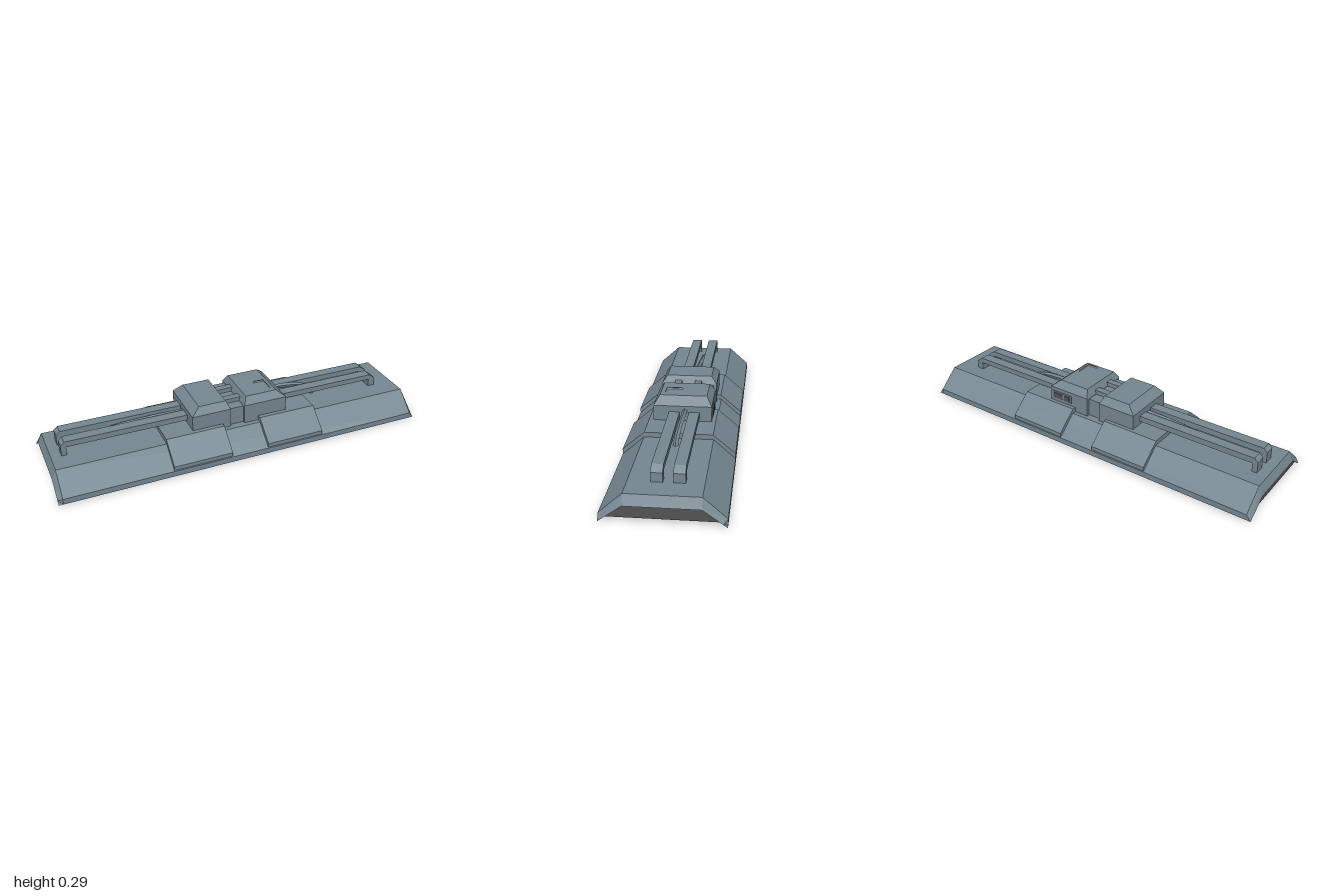
import * as THREE from 'three';

const slate = new THREE.MeshStandardMaterial({ color: 0x758791, flatShading: true, side: THREE.DoubleSide });
const dark = new THREE.MeshStandardMaterial({ color: 0x545252, flatShading: true, side: THREE.DoubleSide });
const grey = new THREE.MeshStandardMaterial({ color: 0xcccccc, flatShading: true });

function add(parent, name, geometry, material = slate) {
  const mesh = new THREE.Mesh(geometry, material);
  mesh.name = name;
  parent.add(mesh);
  return mesh;
}

// Box given by its limits
function box(x0, x1, y0, y1, z0, z1) {
  return new THREE.BoxGeometry(x1 - x0, y1 - y0, z1 - z0)
    .translate((x0 + x1) / 2, (y0 + y1) / 2, (z0 + z1) / 2);
}

// Skin between cross-sections, each a list of [x, y, z]
function loft(sections, closed = false) {
  const n = sections[0].length, index = [];
  for (let s = 0; s < sections.length - 1; s++) {
    for (let i = 0; i < (closed ? n : n - 1); i++) {
      const a = s * n + i, b = s * n + (i + 1) % n;
      index.push(a, a + n, b, b, a + n, b + n);
    }
  }
  const g = new THREE.BufferGeometry();
  g.setAttribute('position', new THREE.Float32BufferAttribute(sections.flat(2), 3));
  g.setIndex(index);
  g.computeVertexNormals();
  return g;
}

// Mirrors half a [z, y] profile
const mirrored = half => [...half, ...half.map(([z, y]) => [-z, y]).reverse()];
const at = (profile, x) => profile.map(([z, y]) => [x, y, z]);

// Extrudes a [z, y] profile along x
function extrudeX(profile, x0, x1) {
  const shape = new THREE.Shape(profile.map(([z, y]) => new THREE.Vector2(-z, y)));
  return new THREE.ExtrudeGeometry(shape, { depth: x1 - x0, bevelEnabled: false })
    .rotateY(Math.PI / 2).translate(x0, 0, 0);
}

// Extrudes an [x, y] profile along z
function extrudeZ(profile, z0, z1) {
  const shape = new THREE.Shape(profile.map(([x, y]) => new THREE.Vector2(x, y)));
  return new THREE.ExtrudeGeometry(shape, { depth: z1 - z0, bevelEnabled: false }).translate(0, 0, z0);
}

// Rectangular ring at one height
const ring = (x0, x1, z0, z1, y) => [[x0, y, z0], [x0, y, z1], [x1, y, z1], [x1, y, z0]];

// Housing half with sloped outer and long sides
function housing(x0, x1, topX0, topX1) {
  return loft([
    ring(x0, x1, -0.148, 0.145, 0.12),
    ring(x0, x1, -0.148, 0.145, 0.23),
    ring(topX0, topX1, -0.12, 0.118, 0.269),
    ring((topX0 + topX1) / 2, (topX0 + topX1) / 2, 0, 0, 0.269),
  ], true);
}

function cable(points) {
  const curve = new THREE.CatmullRomCurve3(points.map(p => new THREE.Vector3(...p)));
  return new THREE.TubeGeometry(curve, 12, 0.013, 5);
}

export function createModel() {
  const model = new THREE.Group();
  model.name = 'lampFixture';
  const body = new THREE.Group();
  body.name = 'fixture';
  model.add(body);

  // Hollow trough with bevelled end rims
  const outer = mirrored([[0.278, 0], [0.278, 0.03], [0.17, 0.127]]);
  const inner = mirrored([[0.278, 0], [0.258, 0.014], [0.17, 0.079]]);
  add(body, 'hull', loft([at(inner, -0.995), at(outer, -0.972), at(outer, 0.972),
    at(inner, 0.995), at(inner, -0.995)]));

  // End plates, and the long strip under the ceiling
  const plate = [[0.258, 0.014], [0.17, 0.079], [-0.17, 0.079], [-0.258, 0.014]];
  for (const s of [-1, 1]) {
    add(body, 'endPlate', extrudeX(plate, s * 0.972 - 0.004, s * 0.972 + 0.004), dark);
  }
  add(body, 'undersideStrip', box(-0.9, 0.89, 0.07, 0.082, -0.015, 0.015));

  // Saddle plates folded over the hull
  const saddle = mirrored([[0.265, 0.03], [0.278, 0.036], [0.278, 0.057], [0.168, 0.152]]);
  saddle.push([-0.16, 0.12], [0.16, 0.12]);
  for (const [x0, x1] of [[-0.415, -0.1], [0.1, 0.415]]) {
    add(body, 'saddlePlate', extrudeX(saddle, x0, x1));
  }

  // Central housing: two blocks joined by a lower bridge
  add(body, 'rightHousing', housing(-0.265, -0.055, -0.22, -0.073));
  add(body, 'leftHousing', housing(0.022, 0.26, 0.04, 0.212));
  add(body, 'bridge', box(-0.06, 0.03, 0.12, 0.222, -0.13, 0.13));
  for (const z of [-0.05, 0.055]) {
    add(body, 'bridgeBar', box(-0.065, 0.035, 0.22, 0.245, z - 0.018, z + 0.018));
  }

  // Button on top and small inset plates at the back
  add(body, 'button', loft([
    ring(0.13, 0.19, 0.01, 0.094, 0.265),
    ring(0.13, 0.19, 0.01, 0.094, 0.276),
    ring(0.137, 0.183, 0.017, 0.087, 0.283),
    ring(0.16, 0.16, 0.05, 0.05, 0.283),
  ], true), grey);
  add(body, 'backFrame', box(0.125, 0.25, 0.165, 0.21, -0.152, -0.14));
  add(body, 'backPlate', box(0.18, 0.24, 0.173, 0.202, -0.155, -0.14), dark);
  add(body, 'backSwitch', box(0.135, 0.168, 0.173, 0.202, -0.155, -0.14), dark);

  // Twin rails with a foot at each end
  const rail = [[-0.92, 0.12], [-0.92, 0.185], [-0.9, 0.203], [0.825, 0.197], [0.86, 0.172],
    [0.86, 0.12], [0.822, 0.12], [0.822, 0.168], [-0.893, 0.172], [-0.893, 0.12]];
  for (const z of [-0.06, 0.04]) add(body, 'rail', extrudeZ(rail, z - 0.027, z + 0.027));

  // Cables from the housing down into the hull
  add(body, 'rightCable', cable([[-0.25, 0.185, -0.005], [-0.45, 0.183, -0.012], [-0.65, 0.168, -0.02],
    [-0.74, 0.15, -0.018], [-0.77, 0.12, -0.012]]));
  add(body, 'leftCable', cable([[0.24, 0.204, -0.014], [0.33, 0.202, -0.012], [0.42, 0.187, -0.006],
    [0.475, 0.16, 0], [0.495, 0.12, 0.004]]));

  // The whole fixture sits very slightly askew
  body.rotation.set(0.008, -0.0125, 0);
  body.position.y = 0.003;
  return model;
}
